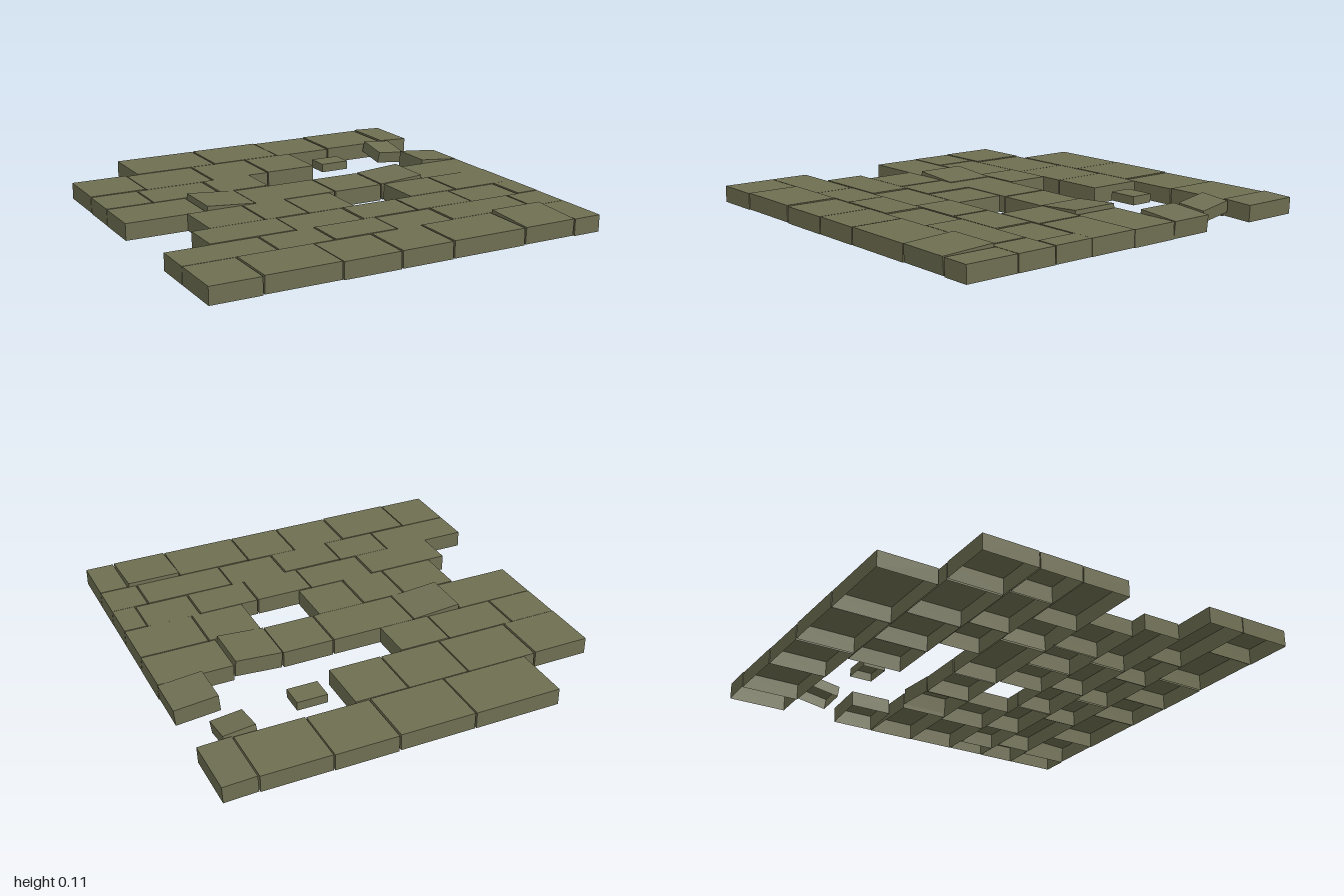
import * as THREE from 'three';

const stone = new THREE.MeshStandardMaterial({ color: 0x6e6e52, side: THREE.DoubleSide });
stone.name = 'mossy stone';

// Box shell without its underside
function openBox(w, h, d) {
  const g = new THREE.BoxGeometry(w, h, d);
  const index = Array.from(g.getIndex().array);
  index.splice(18, 6);
  g.clearGroups();
  g.setIndex(index);
  return g;
}

function slab(name, x0, x1, y0, y1, z0, z1, [rx, rz, lift] = [0, 0, 0]) {
  const mesh = new THREE.Mesh(openBox(x1 - x0, y1 - y0, z1 - z0), stone);
  mesh.name = name;
  mesh.position.set((x0 + x1) / 2, (y0 + y1) / 2 + lift, (z0 + z1) / 2);
  mesh.rotation.set(rx, 0, rz);
  return mesh;
}

// Each row: depth range and runs of joint positions along x.
// tilt maps a slab's left edge to [pitch, roll, lift].
const ROWS = [
  { z: [-1, -0.7], runs: [[-0.645, -0.207, 0.173, 0.49, 0.835, 1]], tilt: { 0.835: [0, -0.04, 0.003] } },
  { z: [-0.695, -0.41], runs: [[-1, -0.71, -0.345, -0.03, 0.24]] },
  { z: [-0.405, -0.185], runs: [[-1, -0.762, -0.408, -0.145], [0.782, 1]], tilt: { 0.782: [0, -0.09, 0.008] } },
  { z: [-0.18, 0.067], runs: [[-1, -0.595, -0.335, 0.107, 0.375, 0.622, 1]],
    tilt: { '-0.595': [0, -0.08, 0.012], 0.375: [0, 0.07, 0.01] } },
  { z: [0.07, 0.322], runs: [[-0.692, -0.41, -0.18, 0.068], [0.388, 0.655, 1]] },
  { z: [0.326, 0.528], runs: [[-0.782, -0.355, -0.004, 0.295, 0.605, 0.882, 1]] },
  { z: [0.532, 0.731], runs: [[-1, -0.55, -0.268, 0.055, 0.357, 0.81, 1]] },
  { z: [0.735, 1], runs: [[-1, -0.753, -0.38, -0.088, 0.18, 0.57, 0.852, 1]], tilt: { 0.57: [0.05, 0, 0.01] } },
];

export function createModel() {
  const group = new THREE.Group();
  group.name = 'stonePaving';
  const gap = 0.004;

  // Paving courses with missing stones left as gaps
  ROWS.forEach(({ z, runs, tilt = {} }, r) => {
    const row = new THREE.Group();
    row.name = `pavingRow${r + 1}`;
    for (const xs of runs) {
      for (let i = 0; i < xs.length - 1; i++) {
        const sag = 0.002 * Math.sin(i * 2.3 + r * 1.7);
        row.add(slab('pavingStone', xs[i] + (i ? gap : 0), xs[i + 1] - (i < xs.length - 2 ? gap : 0),
          0.008, 0.091, z[0], z[1], tilt[xs[i]] || [0, 0, sag]));
      }
    }
    group.add(row);
  });

  // Loose fragments lying in the large gap
  group.add(slab('smallFragment', 0.32, 0.474, 0.036, 0.08, -0.57, -0.452));
  group.add(slab('tiltedFragment', 0.715, 0.872, 0.03, 0.09, -0.688, -0.518, [0.17, -0.1, 0]));
  return group;
}
